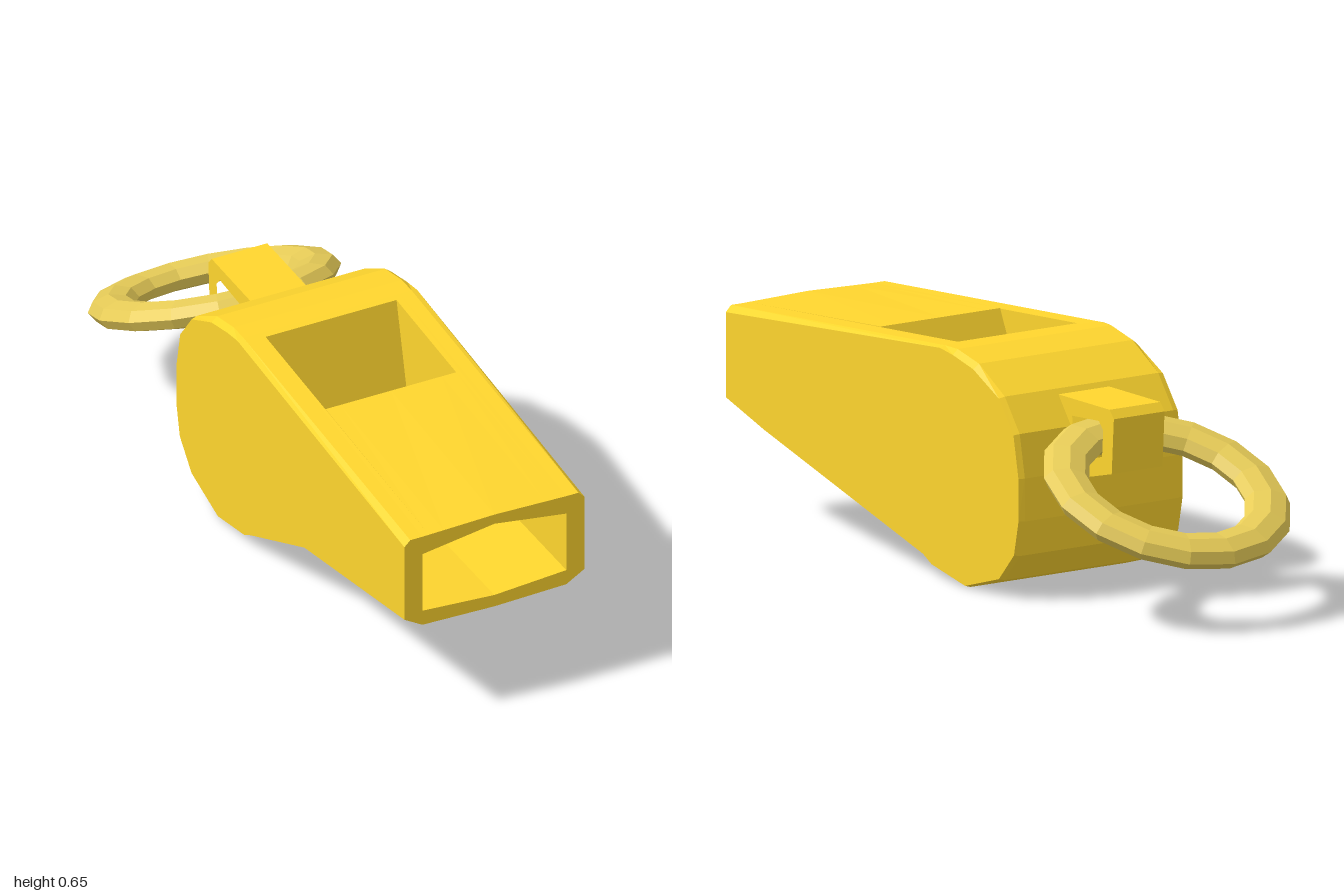
import * as THREE from 'three';
import { mergeGeometries } from 'three/addons/utils/BufferGeometryUtils.js';

const gold = new THREE.MeshStandardMaterial({ color: 0xffd62e, flatShading: true });
const paleGold = new THREE.MeshStandardMaterial({ color: 0xe8cd58, flatShading: true });

// Side profiles are lists of [z, y] pairs
const toPoints = (list) => list.map(([z, y]) => new THREE.Vector2(-z, y));

// Extrude a side profile from x0 to x1
function slab(profile, x0, x1, hole) {
  const shape = new THREE.Shape(toPoints(profile));
  if (hole) shape.holes.push(new THREE.Path(toPoints(hole)));
  const geo = new THREE.ExtrudeGeometry(shape, { depth: x1 - x0, bevelEnabled: false });
  return geo.rotateY(Math.PI / 2).translate(x0, 0, 0);
}

// Round back, from the top edge down to the start of the belly
const chamber = [
  [0, 0.655], [-0.06, 0.655], [-0.16, 0.632], [-0.28, 0.562], [-0.35, 0.47], [-0.374, 0.35],
  [-0.374, 0.23], [-0.352, 0.13], [-0.28, 0.05], [-0.12, 0.002], [0.04, 0.035], [0.08, 0.057],
];
const belly = [[0.4, 0.212], [1, 0.293]];        // bends under the mouthpiece
const straightBelly = [[0.82, 0.273], [1, 0.293]]; // thin web on the left side
const mouth = [[1, 0.33], [0.68, 0.325], [0.68, 0.475], [1, 0.563]];
const lip = [[1, 0.593]];
const windowCut = [[0.38, 0.631], [0.3, 0.46], [0.08, 0.4], [0.02, 0.6537]];

const clamp01 = (v) => Math.min(1, Math.max(0, v));

// Arch the mouthpiece and chamfer the outer rim
function shapeBody(geo) {
  const p = geo.attributes.position;
  for (let i = 0; i < p.count; i++) {
    const ax = Math.abs(p.getX(i));
    let y = p.getY(i), z = p.getZ(i);
    const arch = clamp01(ax / 0.22);
    const corner = clamp01((ax - 0.22) / 0.055);
    const rim = ax > 0.27;
    if (z > 0.99) {
      if (y > 0.58) y -= 0.006 * arch + (rim ? 0.018 : 0);
      else if (y > 0.5) y -= 0.033 * arch;
      else if (y > 0.31) y += 0.015 * arch;
      else y += 0.006 * arch + 0.033 * corner;
    } else if (Math.abs(z - 0.68) < 0.01) {
      if (y > 0.4) y -= 0.015 * clamp01((ax - 0.155) / 0.065);
      else y += 0.015 * arch;
    } else if (rim && z < 0.09) {
      // pull the rim of the round chamber slightly inwards
      const dz = z + 0.1, dy = y - 0.33, len = Math.hypot(dz, dy);
      const pull = y > 0.6 && z < -0.03 ? 0.014 : 0.005;
      z -= pull * dz / len;
      y -= pull * dy / len;
    }
    p.setY(i, y);
    p.setZ(i, z);
  }
  geo.computeVertexNormals();
  return geo;
}

// Side slices are solid; inner slices carry the mouth and window cuts
function makeBody() {
  const cuts = [0, 0.155, 0.2, 0.22, 0.257, 0.275];
  const parts = [];
  for (let i = 0; i < cuts.length - 1; i++) {
    const [a, b] = [cuts[i], cuts[i + 1]];
    const upper = [...lip];
    if (b <= 0.22) upper.unshift(...mouth);
    if (b <= 0.2) upper.push(...windowCut);
    parts.push(shapeBody(slab([...chamber, ...belly, ...upper], -b, -a)));
    parts.push(shapeBody(slab([...chamber, ...(b > 0.27 ? straightBelly : belly), ...upper], a, b)));
  }
  const mesh = new THREE.Mesh(mergeGeometries(parts), gold);
  mesh.name = 'whistleBody';
  return mesh;
}

export function createModel() {
  const group = new THREE.Group();
  group.name = 'whistle';
  group.add(makeBody());

  // Bracket on the back that holds the ring
  const bracketOuter = [[-0.29, 0.548], [-0.53, 0.548], [-0.55, 0.525], [-0.54, 0.37], [-0.36, 0.325]];
  const bracketHole = [[-0.355, 0.5], [-0.48, 0.508], [-0.5, 0.485], [-0.495, 0.41], [-0.365, 0.375]];
  const bracket = new THREE.Mesh(slab(bracketOuter, -0.085, 0.085, bracketHole), gold);
  bracket.name = 'ringBracket';
  group.add(bracket);

  // Flattened ring hanging down behind
  const ring = new THREE.Mesh(new THREE.TorusGeometry(0.287, 0.065, 8, 16), paleGold);
  ring.scale.z = 0.62;
  ring.rotation.x = Math.PI / 2 - 0.43;
  ring.position.set(0, 0.338, -0.68);
  ring.name = 'keyRing';
  group.add(ring);

  return group;
}
